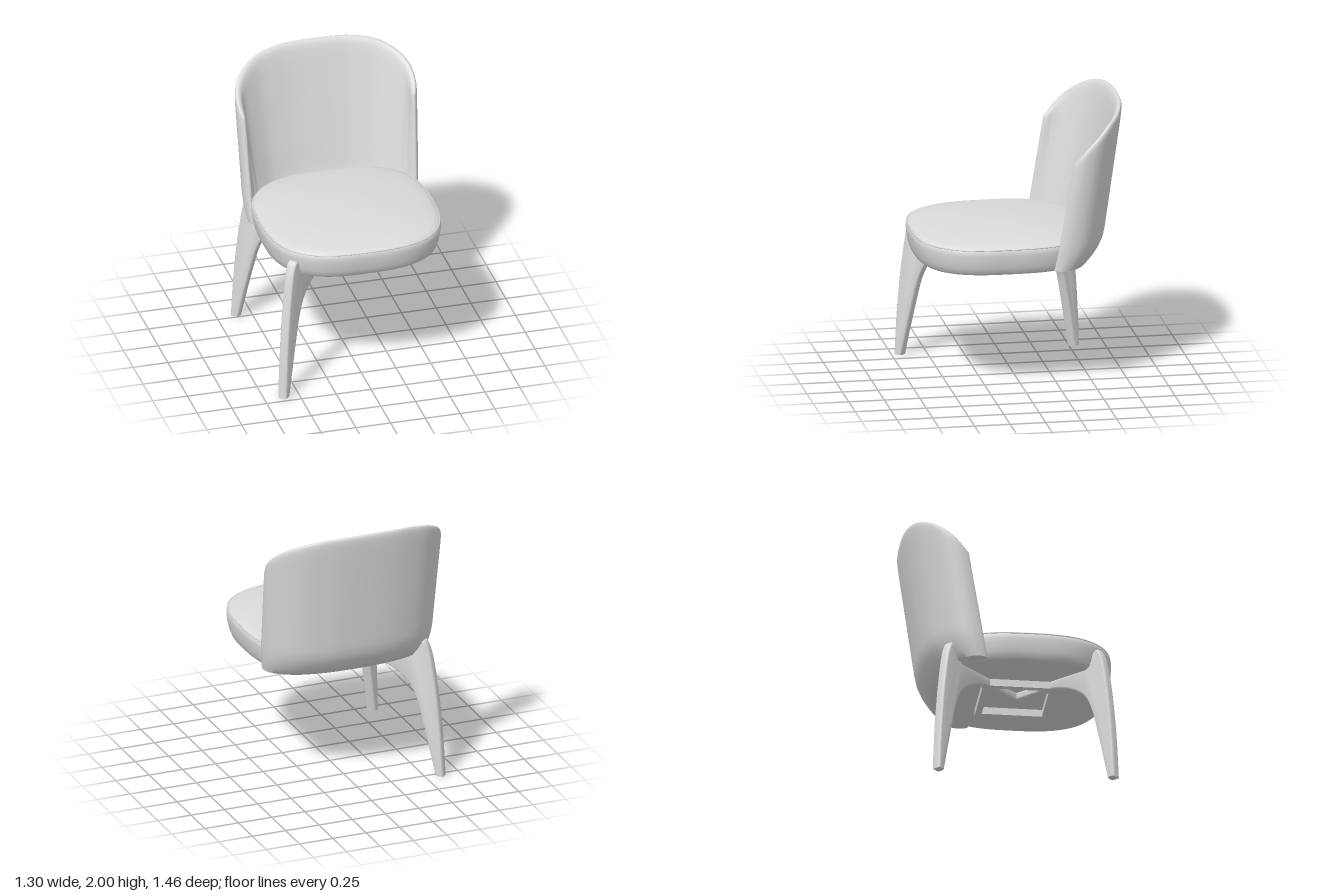
import * as THREE from 'three';
import { toCreasedNormals } from 'three/addons/utils/BufferGeometryUtils.js';

// Loft of closed rings: point(i, j) gives [x, y, z] for ring i, step j.
function loft(rings, steps, point) {
  const pos = [], idx = [];
  for (let i = 0; i < rings; i++) {
    for (let j = 0; j < steps; j++) {
      pos.push(...point(i, j));
      if (i === rings - 1) continue;
      const k = (j + 1) % steps;
      const a = i * steps + j, b = i * steps + k, c = a + steps, d = b + steps;
      idx.push(a, c, d, a, d, b);
    }
  }
  const geo = new THREE.BufferGeometry();
  geo.setAttribute('position', new THREE.Float32BufferAttribute(pos, 3));
  geo.setIndex(idx);
  geo.computeVertexNormals();
  return geo;
}

// Rounded-square seat outline at angle a, scaled by s.
function seatPoint(a, s, y) {
  const p = (v) => Math.sign(v) * Math.pow(Math.abs(v), 2 / 2.85);
  return [0.628 * s * p(Math.cos(a)), y, 0.115 + 0.617 * s * p(Math.sin(a))];
}

export function createModel() {
  const model = new THREE.Group();
  const grey = new THREE.MeshStandardMaterial({ color: 0xdadada });
  grey.name = 'plain grey';
  const add = (name, geo) => {
    const mesh = new THREE.Mesh(geo, grey);
    mesh.name = name;
    model.add(mesh);
    return mesh;
  };

  // Seat cushion: [scale, height] rings for the body and the domed top
  const N = 96;
  const seatLoft = (profile) => loft(profile.length, N, (i, j) =>
    seatPoint((j / N) * Math.PI * 2, profile[i][0], profile[i][1]));
  add('seatBody', seatLoft([[0, 0.88], [0.5, 0.88], [0.88, 0.88], [0.925, 0.884], [0.955, 0.9],
    [0.978, 0.94], [0.993, 0.99], [1, 1.03], [0.998, 1.055], [0.985, 1.07]]));
  add('seatTop', seatLoft([[0.985, 1.07], [0.965, 1.083], [0.92, 1.093], [0.8, 1.107],
    [0.6, 1.12], [0.4, 1.129], [0.2, 1.134], [0, 1.135]]));
  const seam = Array.from({ length: 80 }, (_, j) =>
    new THREE.Vector3(...seatPoint((j / 80) * Math.PI * 2, 0.987, 1.07)));
  add('seatPiping', new THREE.TubeGeometry(new THREE.CatmullRomCurve3(seam, true), 160, 0.005, 6, true));

  // Wrap-around backrest: half plan curve, swept up with a backward lean
  const plan = new THREE.SplineCurve([[0, -0.605], [0.12, -0.602], [0.25, -0.588], [0.42, -0.54], [0.54, -0.46],
    [0.607, -0.38], [0.628, -0.29], [0.612, -0.21]].map(([x, z]) => new THREE.Vector2(x, z)));
  const U = 84, T = 32;
  const shell = loft(U + 1, T * 2, (i, j) => {
    const u = Math.sin((1 - (2 * i) / U) * Math.PI / 2);
    const v = Math.abs(u);
    const outer = j < T;
    const t = Math.sin(((outer ? j : 2 * T - 1 - j) / (T - 1)) * Math.PI / 2);
    const p = plan.getPointAt(v), d = plan.getTangentAt(v);
    // padding is thickest low in the middle and rounds off at the rim
    const rim = Math.sqrt(Math.max(0, (1 - Math.pow(v, 36)) * (1 - Math.pow(t, 36))));
    const thick = 0.05 + 0.105 * (1 - t) * (1 - Math.pow(v, 8));
    const off = outer ? 0.02 * (1 - rim) : 0.02 + (thick - 0.02) * rim;
    let x = p.x - d.y * off, z = p.y + d.x * off;
    const y = 0.89 + (2 - 0.33 * Math.pow(v, 3.3) - 0.89) * t;
    const tuck = Math.pow(Math.max(0, (1.1 - y) / 0.21), 2);
    x *= (1 + 0.05 * (y - 1.05)) * (1 - 0.03 * tuck);
    z = -0.2 + (z + 0.2) * (1 - 0.25 * tuck) - (0.14 + 0.03 * Math.pow(v, 4)) * (y - 1.05);
    return [Math.sign(u) * x, y, z];
  });
  add('backrest', toCreasedNormals(shell, 1.1));

  // Curved legs with arms that meet under the seat, profile in (radius, height)
  const vec = (list) => list.map(([x, y]) => new THREE.Vector2(x, y));
  const profile = new THREE.Shape();
  profile.moveTo(0.835, 0);
  profile.lineTo(0.893, 0);
  profile.splineThru(vec([[0.875, 0.3], [0.845, 0.6], [0.807, 0.85], [0.777, 0.96],
    [0.747, 1.008], [0.71, 1.0], [0.67, 0.93], [0.64, 0.885]]));
  profile.lineTo(-0.03, 0.885);
  profile.lineTo(-0.03, 0.827);
  profile.lineTo(0.28, 0.827);
  profile.splineThru(vec([[0.38, 0.814], [0.48, 0.782], [0.57, 0.735], [0.64, 0.67],
    [0.693, 0.56], [0.738, 0.4], [0.788, 0.2], [0.835, 0]]));
  const legGeo = new THREE.ExtrudeGeometry(profile, {
    depth: 0.032, bevelSize: 0.014, bevelOffset: -0.014, bevelThickness: 0.018, bevelSegments: 4, curveSegments: 32,
  });
  legGeo.translate(0, 0, -0.016);
  const leg = toCreasedNormals(legGeo, 0.7);
  for (const [name, turn] of [['frontLeg', -0.75], ['rearLeg', 0.75]]) {
    const mesh = add(name, leg);
    mesh.rotation.y = turn * Math.PI;
    mesh.position.z = 0.08;
  }

  // Square mounting frame under the seat
  const square = (path, h) => path.setFromPoints(vec([[-h, -h], [h, -h], [h, h], [-h, h], [-h, -h]]));
  const frameShape = square(new THREE.Shape(), 0.255);
  frameShape.holes.push(square(new THREE.Path(), 0.21));
  const frame = new THREE.ExtrudeGeometry(frameShape, { depth: 0.055, bevelEnabled: false });
  frame.rotateX(-Math.PI / 2);
  add('mountingFrame', frame).position.set(0, 0.828, 0.08);

  return model;
}
